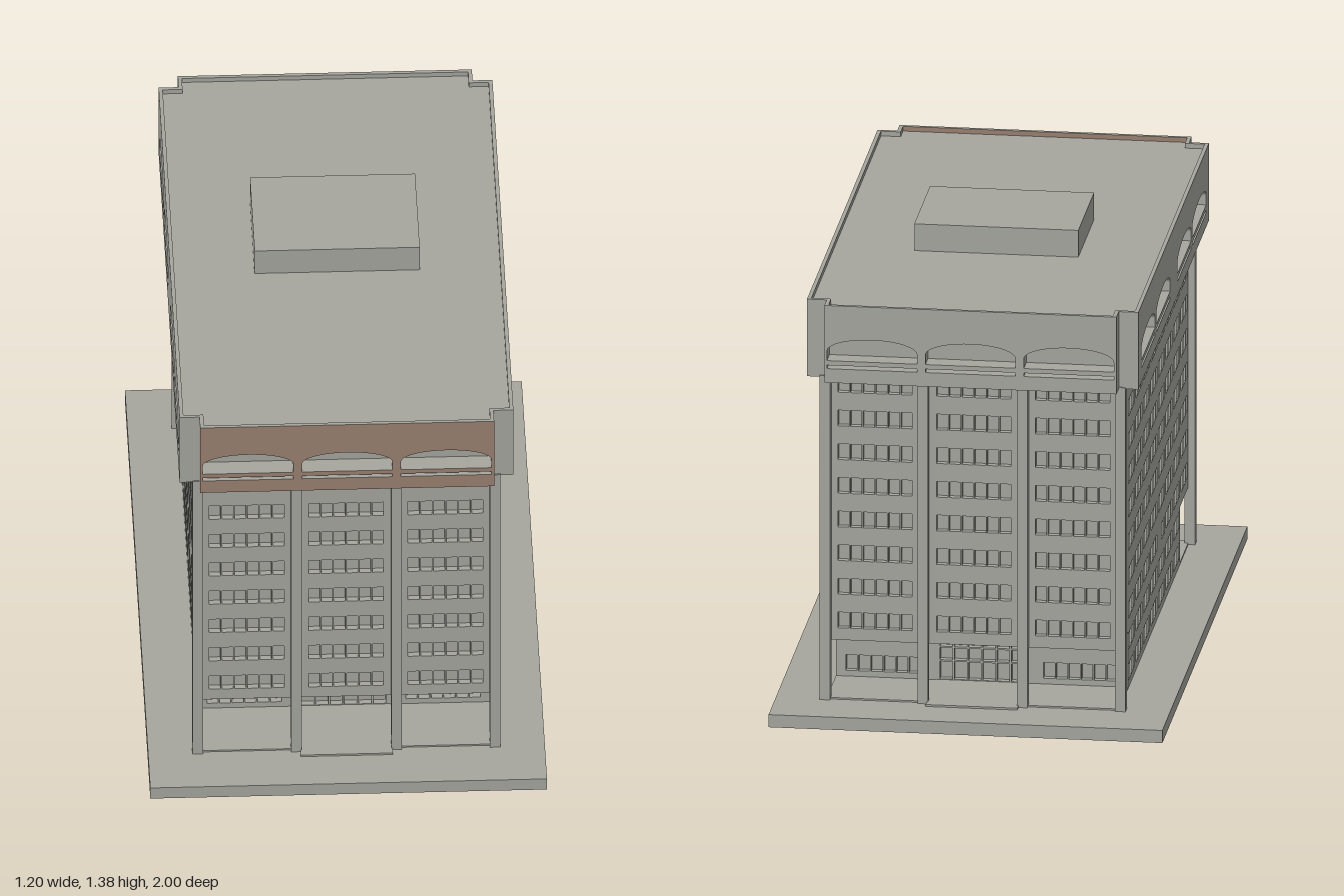
import * as THREE from 'three';

const concrete = new THREE.MeshStandardMaterial({ color: 0xa6a69f });
concrete.name = 'concrete';
const terracotta = new THREE.MeshStandardMaterial({ color: 0x998071 });
terracotta.name = 'terracotta';

// Window rows (centre heights) and pane sizes
const UPPER_ROWS = [1.034, 0.927, 0.82, 0.713, 0.606, 0.499, 0.392, 0.285];
const LOWER_ROWS = [0.186, 0.088];
const PANE_W = 0.034, PANE_H = 0.05, PITCH = 0.0385, WALL = 0.02;
const BODY_X = 0.445, BODY_Z = 0.803, LOWER_Z = 0.612;
const CROWN_Y0 = 1.065, ROOF_Y = 1.295, CROWN_Y1 = 1.31;

function rectHole(u, y, w, h) {
  const p = new THREE.Path();
  p.moveTo(u - w / 2, y - h / 2);
  p.lineTo(u - w / 2, y + h / 2);
  p.lineTo(u + w / 2, y + h / 2);
  p.lineTo(u + w / 2, y - h / 2);
  p.closePath();
  return p;
}

function archHole(u, w) {
  const p = new THREE.Path();
  p.moveTo(u - w / 2, 1.135);
  p.lineTo(u + w / 2, 1.135);
  p.lineTo(u + w / 2, 1.165);
  p.absellipse(u, 1.165, w / 2, 0.04, 0, Math.PI, false);
  p.closePath();
  return p;
}

// Row of window panes centred on u
function panes(u, y, count) {
  return Array.from({ length: count }, (_, i) =>
    rectHole(u + (i - (count - 1) / 2) * PITCH, y, PANE_W, PANE_H));
}

function box(parent, name, x0, x1, y0, y1, z0, z1) {
  const m = new THREE.Mesh(new THREE.BoxGeometry(x1 - x0, y1 - y0, z1 - z0), concrete);
  m.position.set((x0 + x1) / 2, (y0 + y1) / 2, (z0 + z1) / 2);
  m.name = name;
  parent.add(m);
}

// Pierced panel whose outer face lies at distance dist from the centre, turned by angle
function panel(parent, name, halfW, y0, y1, holes, depth, dist, angle, material = concrete) {
  const s = new THREE.Shape();
  s.moveTo(-halfW, y0);
  s.lineTo(halfW, y0);
  s.lineTo(halfW, y1);
  s.lineTo(-halfW, y1);
  s.closePath();
  s.holes = holes;
  const g = new THREE.ExtrudeGeometry(s, { depth, bevelEnabled: false, curveSegments: 20 });
  g.translate(0, 0, dist - depth);
  g.rotateY(angle);
  const m = new THREE.Mesh(g, material);
  m.name = name;
  parent.add(m);
}

// Crown panel: thin outer skin rising as a parapet, backed by a deep reveal
function crownPanel(parent, name, halfW, centres, w, dist, angle, face) {
  const holes = () => centres.flatMap(u => [archHole(u, w), rectHole(u, 1.115, w, 0.011)]);
  panel(parent, name + 'Face', halfW, CROWN_Y0, CROWN_Y1, holes(), 0.012, dist, angle, [face, concrete]);
  panel(parent, name + 'Reveal', halfW, CROWN_Y0, ROOF_Y, holes(), 0.048, dist - 0.012, angle);
}

export function createModel() {
  const model = new THREE.Group();
  model.name = 'officeBlock';

  // Ground slab and plinth
  box(model, 'groundSlab', -0.6, 0.6, 0, 0.04, -1, 1);
  box(model, 'plinth', -BODY_X, BODY_X, 0.03, 0.045, -0.825, 0.825);
  box(model, 'entranceSteps', -0.14, 0.14, 0.03, 0.046, -0.86, 0.86);

  // Solid cores behind the pierced walls
  const cx = BODY_X - WALL;
  box(model, 'upperCore', -cx, cx, 0.222, CROWN_Y0 + 0.01, -BODY_Z + WALL, BODY_Z - WALL);
  box(model, 'lowerCore', -cx, cx, 0.04, 0.23, -LOWER_Z + WALL, LOWER_Z - WALL);

  // Long side walls: nine bays of four panes above, seven below
  for (const side of [1, -1]) {
    const angle = side * Math.PI / 2;
    const upper = [], lower = [];
    for (let bay = 0; bay < 9; bay++) {
      const z = (4 - bay) * 0.1765;
      const u = -side * z;
      UPPER_ROWS.forEach((y, r) => {
        const blank = r === 7 && bay === 3;
        upper.push(...(blank ? panes(-side * (z + PITCH), y, 2) : panes(u, y, 4)));
      });
      if (bay > 0 && bay < 8) LOWER_ROWS.forEach(y => lower.push(...panes(u, y, 4)));
    }
    panel(model, 'sideUpperWall', BODY_Z, 0.222, CROWN_Y0, upper, WALL, BODY_X, angle);
    panel(model, 'sideLowerWall', LOWER_Z, 0.04, 0.222, lower, WALL, BODY_X, angle);
  }

  // End walls: three bays of six panes, with a glazed entrance below the middle bay
  for (const angle of [0, Math.PI]) {
    const upper = [], lower = [];
    for (const u of [-0.301, 0, 0.301]) {
      UPPER_ROWS.forEach(y => upper.push(...panes(u, y, 6)));
      if (u !== 0) LOWER_ROWS.forEach(y => lower.push(...panes(u, y, 6)));
    }
    for (let c = 0; c < 6; c++) {
      const u = (c - 2.5) * 0.0435;
      lower.push(rectHole(u, 0.183, 0.038, 0.062));
      lower.push(rectHole(u, 0.128, 0.038, 0.038));
      lower.push(rectHole(u, 0.076, 0.038, 0.056));
    }
    panel(model, 'endUpperWall', cx, 0.222, CROWN_Y0, upper, WALL, BODY_Z, angle);
    panel(model, 'endLowerWall', cx, 0.04, 0.222, lower, WALL, LOWER_Z, angle);
  }

  // Full-height columns at both ends
  for (const s of [1, -1]) {
    for (const x of [-0.45, -0.152, 0.152, 0.45]) {
      const z = s * 0.819;
      box(model, 'column', x - 0.016, x + 0.016, 0.04, CROWN_Y0 + 0.005, z - 0.016, z + 0.016);
    }
  }

  // Crown with arched openings and notched corners
  const crown = new THREE.Group();
  crown.name = 'crown';
  model.add(crown);
  box(crown, 'crownCore', -0.445, 0.445, CROWN_Y0, ROOF_Y, -0.825, 0.825);
  const ends = [-0.3, 0, 0.3], sides = [-0.6, -0.247, 0.247, 0.6];
  crownPanel(crown, 'frontCrown', 0.445, ends, 0.274, 0.885, 0, terracotta);
  crownPanel(crown, 'backCrown', 0.445, ends, 0.274, 0.885, Math.PI, concrete);
  crownPanel(crown, 'leftCrown', 0.83, sides, 0.328, 0.505, Math.PI / 2, concrete);
  crownPanel(crown, 'rightCrown', 0.83, sides, 0.328, 0.505, -Math.PI / 2, concrete);

  // Parapet returns around the corner notches
  for (const sx of [1, -1]) {
    for (const sz of [1, -1]) {
      const x = sx * 0.439, z = sz * 0.824;
      const mx = sx * 0.463, mz = sz * 0.8455;
      box(crown, 'parapetReturn', x - 0.006, x + 0.006, ROOF_Y - 0.005, CROWN_Y1, mz - 0.0275, mz + 0.0275);
      box(crown, 'parapetReturn', mx - 0.03, mx + 0.03, ROOF_Y - 0.005, CROWN_Y1, z - 0.006, z + 0.006);
    }
  }

  // Rooftop plant room
  box(model, 'plantRoom', -0.25, 0.25, ROOF_Y - 0.01, 1.38, -0.275, 0.095);

  return model;
}
